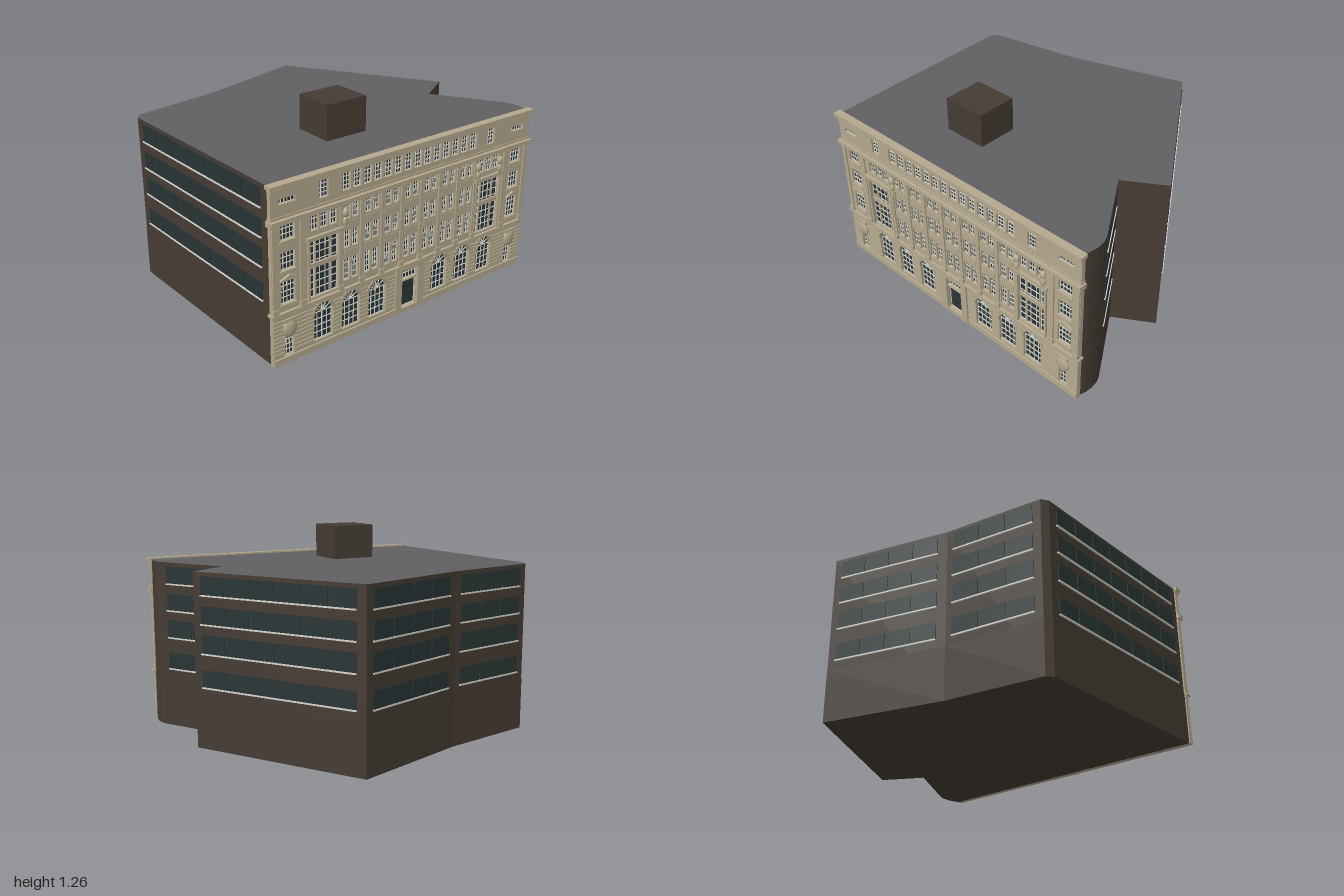
import * as THREE from 'three';
import { mergeGeometries } from 'three/addons/utils/BufferGeometryUtils.js';

const material = (name, color) => Object.assign(new THREE.MeshStandardMaterial({ color }), { name });

export function createModel() {
  const stone = material('limestone', 0xb5a98e);
  const brick = material('dark brick', 0x453c34);
  const roofing = material('roofing', 0x605f62);
  const glass = material('glass', 0x2a3536);
  const white = material('white trim', 0xd6d5cd);
  const root = new THREE.Group();
  root.name = 'officeBuilding';

  // Parts collected by name, merged at the end
  const collector = (group) => {
    const parts = {};
    return {
      add(name, mat, geo) {
        parts[name] ??= { mat, list: [] };
        parts[name].list.push(geo.index ? geo.toNonIndexed() : geo);
      },
      box(name, mat, x0, x1, y0, y1, z0, z1) {
        this.add(name, mat, new THREE.BoxGeometry(x1 - x0, y1 - y0, z1 - z0)
          .translate((x0 + x1) / 2, (y0 + y1) / 2, (z0 + z1) / 2));
      },
      finish() {
        for (const [name, { mat, list }] of Object.entries(parts)) {
          const mesh = new THREE.Mesh(mergeGeometries(list), mat);
          mesh.name = name;
          group.add(mesh);
        }
        root.add(group);
      },
    };
  };
  const addMesh = (name, geo, mat) => {
    const mesh = new THREE.Mesh(geo, mat);
    mesh.name = name;
    root.add(mesh);
    return mesh;
  };

  // Main block on an irregular plan, with a rounded front corner
  const plan = [[-0.98, 0.69], [0.945, 0.845], [0.962, 0.81], [0.972, 0.76], [0.972, 0.71], [0.96, 0.67],
    [0.74, 0.235], [0.995, 0.105], [0.48, -0.9], [-0.27, -0.73], [-0.88, -0.67], [-0.91, -0.63]];
  const outline = (s) => new THREE.Shape(plan.map(([x, z]) => new THREE.Vector2(x * s, -z * s)));
  const slab = (s, h) => new THREE.ExtrudeGeometry(outline(s), { depth: h, bevelEnabled: false }).rotateX(-Math.PI / 2);
  addMesh('mainBlock', slab(0.998, 1.05), brick);
  addMesh('groundFloorBase', slab(1, 0.32), brick);
  addMesh('roof', new THREE.ShapeGeometry(outline(0.998)).rotateX(-Math.PI / 2).translate(0, 1.0515, 0), roofing);
  const hut = addMesh('roofHut', new THREE.BoxGeometry(0.282, 0.215, 0.258), brick);
  hut.position.set(-0.187, 1.157, 0.312);
  hut.rotation.y = -0.085;

  // Window strips on the plain walls: edge start, edge end, inset at each end, panes
  const strips = [
    ['rightFront', plan[5], plan[6], 0.045, 0.06, 2],
    ['rightRear', plan[7], plan[8], 0.05, 0.06, 6],
    ['backRight', plan[8], plan[9], 0.05, 0.06, 4],
    ['backLeft', plan[9], plan[10], 0.04, 0.05, 3],
    ['left', plan[11], plan[0], 0.06, 0.06, 7],
  ];
  const rows = [[0.374, 0.478], [0.575, 0.686], [0.748, 0.854], [0.918, 1.027]];
  for (const [name, p, q, startGap, endGap, panes] of strips) {
    const dx = q[0] - p[0], dz = q[1] - p[1];
    const g = new THREE.Group();
    g.name = name + 'Windows';
    g.position.set(p[0], 0, p[1]);
    g.rotation.y = Math.atan2(-dz, dx);
    const c = collector(g);
    const end = Math.hypot(dx, dz) - endGap, pitch = (end - startGap) / panes;
    for (const [y0, y1] of rows) {
      for (let i = 0; i < panes; i++) {
        const x = startGap + i * pitch;
        c.box(name + 'Panes', glass, x + 0.003, x + pitch - 0.003, y0, y1, -0.004, 0.003);
      }
      c.box(name + 'Sills', white, startGap, end, y0 - 0.007, y0 + 0.002, -0.004, 0.008);
    }
    c.finish();
  }

  // Street front, built in its own frame and turned to the slanted edge
  const front = new THREE.Group();
  front.name = 'streetFront';
  front.position.set(-0.016, 0, 0.768);
  front.rotation.y = -0.0787;
  const f = collector(front);
  const H = 0.972, WALL = 0.026, GLASS = 0.009;

  // Openings: centre x, width, bottom, top, columns, rows, arched
  const openings = [];
  const open = (x, w, y0, y1, cols, rws, arch = false) => openings.push({ x, w, y0, y1, cols, rows: rws, arch });
  const floors = [[0.365, 0.5, 4], [0.565, 0.67, 3], [0.738, 0.832, 3]];
  for (const s of [-1, 1]) {
    for (const x of [0.246, 0.441, 0.635]) open(s * x, 0.13, 0.055, 0.288, 4, 4, true);
    open(s * 0.867, 0.06, 0.04, 0.165, 3, 4);
    for (const [y0, y1, n] of floors) open(s * 0.867, 0.092, y0, y1, 4, n);
    open(s * 0.632, 0.196, 0.335, 0.685, 5, 8);
    for (const d of [-0.062, 0, 0.062]) open(s * 0.632 + d, 0.052, 0.738, 0.832, 3, 3);
    open(s * 0.632, 0.06, 0.91, 1.01, 3, 4);
    open(s * 0.867, 0.105, 0.945, 0.975, 5, 1);
  }
  for (let bay = -3; bay <= 3; bay++) for (const s of [-1, 1]) {
    for (const [y0, y1, n] of floors) open(bay * 0.148 + s * 0.029, 0.045, y0, y1, 3, n);
    open(bay * 0.148 + s * 0.037, 0.057, 0.91, 1.01, 3, 4);
  }
  open(0, 0.122, 0.215, 0.283, 5, 2);
  open(0, 0.122, 0.03, 0.207, 1, 1);

  // Wall pierced by the openings, glass plate inside it
  const wall = new THREE.Shape([[-H, 0], [H, 0], [H, 1.04], [-H, 1.04]].map((p) => new THREE.Vector2(...p)));
  for (const { x, w, y0, y1, arch } of openings) {
    const r = w / 2, hole = new THREE.Path();
    hole.moveTo(x - r, y0).lineTo(x + r, y0);
    if (arch) hole.lineTo(x + r, y1 - r).absarc(x, y1 - r, r, 0, Math.PI, false);
    else hole.lineTo(x + r, y1).lineTo(x - r, y1);
    hole.closePath();
    wall.holes.push(hole);
  }
  f.add('frontWall', stone, new THREE.ExtrudeGeometry(wall, { depth: WALL, bevelEnabled: false, curveSegments: 8 }));
  f.box('frontGlass', glass, -H + 0.02, H - 0.02, 0.01, 1.03, 0.002, GLASS);

  // Glazing bars, with a fan in the arches
  for (const { x, w, y0, y1, cols, rows: n, arch } of openings) {
    const r = w / 2, top = arch ? y1 - r : y1, t = 0.0019;
    for (let i = 0; i <= cols; i++) {
      const bx = x - r + (w * i) / cols;
      f.box('glazingBars', white, bx - t, bx + t, y0, top, GLASS, GLASS + 0.005);
    }
    for (let j = 0; j <= n; j++) {
      const by = y0 + ((top - y0) * j) / n;
      f.box('glazingBars', white, x - r, x + r, by - t, by + t, GLASS, GLASS + 0.005);
    }
    if (!arch) continue;
    for (let k = 1; k < 6; k++) {
      f.add('glazingBars', white, new THREE.BoxGeometry(r, 2 * t, 0.005).translate(r / 2, 0, 0)
        .rotateZ((k * Math.PI) / 6).translate(x, top, GLASS + 0.0025));
    }
    f.add('glazingBars', white, new THREE.RingGeometry(r * 0.5, r * 0.56, 12, 1, 0, Math.PI).translate(x, top, GLASS + 0.006));
    const ring = new THREE.Shape().absarc(0, 0, r + 0.016, 0, Math.PI, false);
    ring.absarc(0, 0, r, Math.PI, 0, true);
    f.add('archSurrounds', stone, new THREE.ExtrudeGeometry(ring, { depth: 0.009, bevelEnabled: false, curveSegments: 8 })
      .translate(x, top, WALL));
  }

  // Rusticated courses, broken where openings cut them
  const ground = openings.filter((o) => o.y0 < 0.2 && o.x !== 0).concat([{ x: 0, w: 0.22, y0: 0, y1: 0.4 }]);
  for (let y = 0.052; y < 0.28; y += 0.0248) {
    const mid = y + 0.01;
    let x = -H;
    const cuts = ground.filter((o) => mid > o.y0 && mid < o.y1 + (o.arch ? 0.016 : 0)).sort((a, b) => a.x - b.x);
    for (const o of [...cuts, { x: H, w: 0 }]) {
      const r = o.w / 2, up = o.arch ? mid - (o.y1 - r) : 0;
      const half = up > 0 ? Math.sqrt(Math.max(0, (r + 0.016) ** 2 - up * up)) : r;
      f.box('rusticatedCourses', stone, x, o.x - half, y, y + 0.0205, WALL - 0.002, WALL + 0.006);
      x = o.x + half;
    }
  }
  for (const s of [-1, 1]) {
    const a = s * 0.541;
    f.box('plinth', stone, a - 0.431, a + 0.431, 0, 0.038, 0, 0.036);
  }

  // Cornices and string courses
  const bands = [[0.295, 0.308, 0.036], [0.308, 0.322, 0.043], [0.834, 0.85, 0.043], [0.85, 0.867, 0.052],
    [0.867, 0.88, 0.031], [1.022, 1.04, 0.039], [1.04, 1.062, 0.048]];
  for (const [y0, y1, d] of bands) {
    const e = H + (d > 0.04 ? 0.012 : 0.003);
    f.box('cornices', stone, -e, e, y0, y1, -0.002, d);
  }

  // Pilasters with caps and corbelled feet
  for (const s of [-1, 1]) {
    for (const [x, w] of [[0.074, 0.03], [0.222, 0.03], [0.37, 0.03], [0.516, 0.024], [0.775, 0.036], [0.955, 0.03]]) {
      const p = s * x, r = w / 2;
      f.box('pilasters', stone, p - r, p + r, 0.322, 0.836, WALL - 0.002, 0.035);
      f.box('pilasterCaps', stone, p - r - 0.003, p + r + 0.003, 0.815, 0.836, WALL - 0.002, 0.039);
      f.box('pilasterFeet', stone, p - r - 0.003, p + r + 0.003, 0.322, 0.352, WALL - 0.002, 0.041);
    }
  }
  for (let bay = -3; bay <= 3; bay++) for (const [y0, y1] of [[0.515, 0.552], [0.685, 0.724]]) {
    f.box('spandrelPanels', stone, bay * 0.148 - 0.05, bay * 0.148 + 0.05, y0, y1, WALL - 0.002, 0.029);
  }

  for (const s of [-1, 1]) {
    // Great window surround and transom
    const x = s * 0.632;
    for (const e of [-1, 1]) f.box('greatWindowSurrounds', stone, x + e * 0.104 - 0.007, x + e * 0.104 + 0.007, 0.325, 0.69, WALL - 0.002, 0.038);
    f.box('greatWindowSurrounds', stone, x - 0.12, x + 0.12, 0.685, 0.708, WALL - 0.002, 0.044);
    f.box('greatWindowTransoms', stone, x - 0.098, x + 0.098, 0.512, 0.54, GLASS, 0.022);
    for (const e of [-0.049, 0.049]) f.box('greatWindowTransoms', stone, x + e - 0.004, x + e + 0.004, 0.335, 0.685, GLASS, 0.017);

    // End bay pediment, sills and oval cartouche
    const ex = s * 0.867;
    const tri = new THREE.Shape([[-0.058, 0], [0.058, 0], [0.058, 0.006], [0, 0.03], [-0.058, 0.006]].map((p) => new THREE.Vector2(...p)));
    f.add('pediments', stone, new THREE.ExtrudeGeometry(tri, { depth: 0.014, bevelEnabled: false }).translate(ex, 0.508, WALL));
    for (const [y0] of floors) f.box('endBaySills', stone, ex - 0.054, ex + 0.054, y0 - 0.012, y0, WALL - 0.002, 0.034);
    f.add('cartouches', stone, new THREE.SphereGeometry(1, 18, 10).scale(0.046, 0.057, 0.018).translate(ex, 0.213, 0.033));
    f.box('cartouches', stone, ex - 0.04, ex + 0.04, 0.255, 0.275, WALL, 0.042);
  }

  // Carved urns beside the great windows
  for (const x of [-0.495, 0.53, 0.72]) {
    f.add('urns', stone, new THREE.SphereGeometry(1, 14, 8).scale(0.021, 0.027, 0.014).translate(x, 0.787, 0.038));
    f.add('urns', stone, new THREE.SphereGeometry(1, 14, 8).scale(0.017, 0.03, 0.012).translate(x, 0.735, 0.037));
    f.box('urns', stone, x - 0.02, x + 0.02, 0.69, 0.712, WALL, 0.046);
  }

  // Entrance surround
  for (const s of [-1, 1]) f.box('entranceSurround', stone, s * 0.087 - 0.024, s * 0.087 + 0.024, 0, 0.29, WALL - 0.002, 0.042);
  f.box('entranceSurround', stone, -0.115, 0.115, 0.284, 0.324, WALL - 0.002, 0.047);
  f.box('doorLintel', stone, -0.062, 0.062, 0.206, 0.216, GLASS, 0.032);
  f.box('doorStep', stone, -0.062, 0.062, 0, 0.03, 0, 0.04);
  f.finish();
  return root;
}
